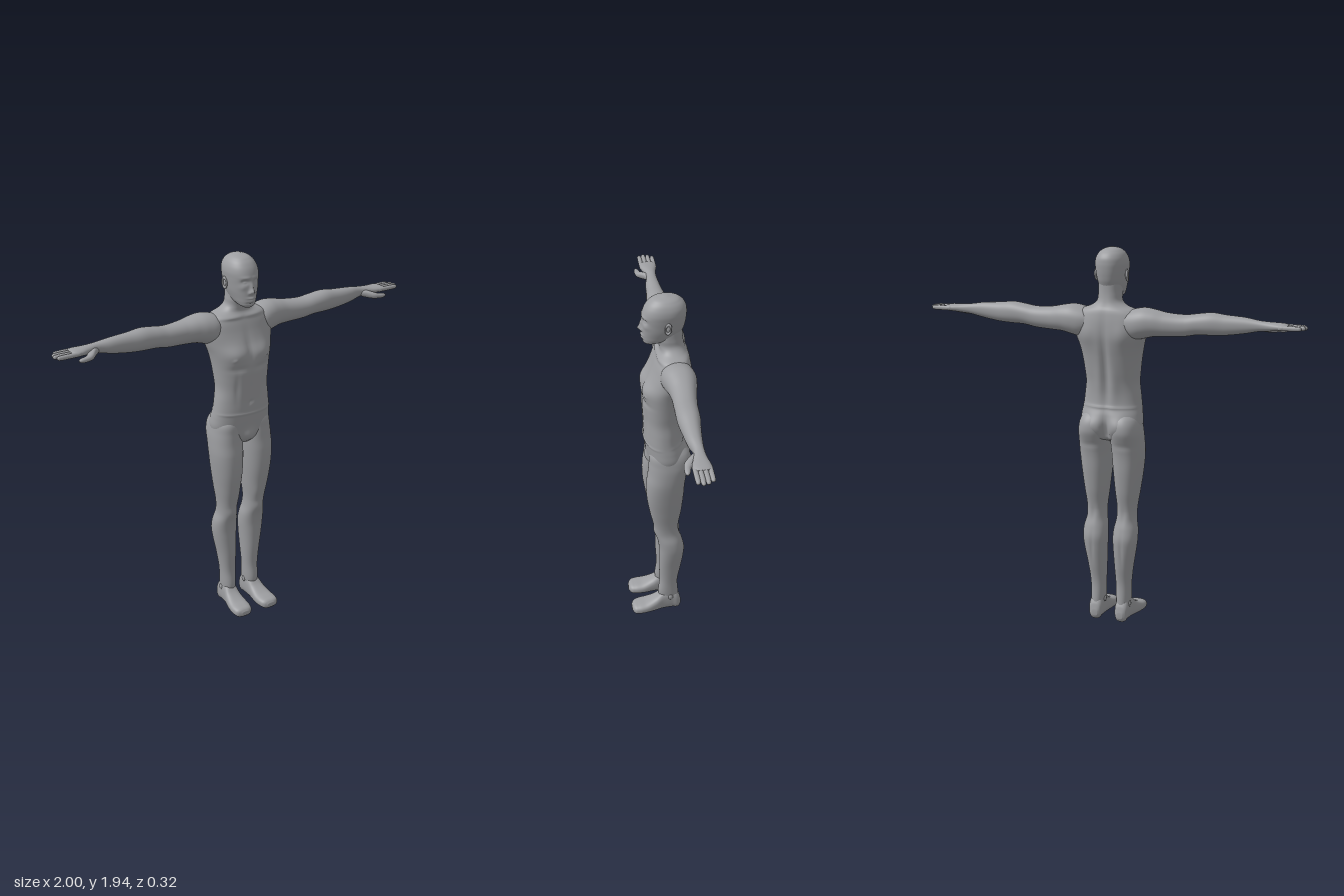
import * as THREE from 'three';

const skin = new THREE.MeshStandardMaterial({ color: 0x9d9ea1 });
skin.name = 'plain grey';

// Axis layouts: t runs along the part, a and b span its cross-section
const upright = (t, a, b) => [a, t, b];   // t = y, a = x, b = z
const sideways = (t, a, b) => [t, b, a];  // t = x, a = z, b = y
const forward = (t, a, b) => [b, a, t];   // t = z, a = y, b = x

// Smooth closed loft. rings: [t, aMin, aMax, bMin, bMax]
// bumps: [side of b, |a|, t, radius a, radius t, height]
function loft(name, rings, map, { sides = 40, steps = 6, power = 2.2, bumps = [], mirror = 1 } = {}) {
  const spline = new THREE.CubicInterpolant(
    rings.map(r => r[0]), rings.flatMap(r => r.slice(1)), 4, new Float32Array(4));
  const ts = [];
  rings.forEach((r, i) => {
    if (i === rings.length - 1) return ts.push(r[0]);
    for (let k = 0; k < steps; k++) ts.push(r[0] + (rings[i + 1][0] - r[0]) * k / steps);
  });
  const pos = [], index = [];
  const put = (t, a, b) => {
    const p = map(t, a, b);
    pos.push(p[0] * mirror, p[1], p[2]);
  };
  const tri = (a, b, c) => (mirror > 0 ? index.push(a, b, c) : index.push(a, c, b));
  const round = v => Math.sign(v) * Math.abs(v) ** (2 / power);
  for (const t of ts) {
    const [a0, a1, b0, b1] = spline.evaluate(t);
    for (let j = 0; j < sides; j++) {
      const ang = j / sides * Math.PI * 2, s = Math.sin(ang);
      const a = (a0 + a1) / 2 + (a1 - a0) / 2 * round(Math.cos(ang));
      let b = (b0 + b1) / 2 + (b1 - b0) / 2 * round(s);
      for (const [side, ba, bt, ra, rt, h] of bumps) {
        const w = THREE.MathUtils.clamp(side * s * 3, 0, 1);
        b += side * w * h * Math.exp(-(((Math.abs(a) - ba) / ra) ** 2) - ((t - bt) / rt) ** 2);
      }
      put(t, a, b);
    }
  }
  // end caps
  const n = ts.length, first = n * sides;
  for (const r of [rings[0], rings[rings.length - 1]]) put(r[0], (r[1] + r[2]) / 2, (r[3] + r[4]) / 2);
  for (let j = 0; j < sides; j++) {
    const k = (j + 1) % sides;
    for (let i = 0; i < n - 1; i++) {
      const p = i * sides;
      tri(p + j, p + sides + j, p + k);
      tri(p + k, p + sides + j, p + sides + k);
    }
    tri(first, j, k);
    tri(first + 1, (n - 1) * sides + k, (n - 1) * sides + j);
  }
  const g = new THREE.BufferGeometry();
  g.setAttribute('position', new THREE.Float32BufferAttribute(pos, 3));
  g.setIndex(index);
  g.computeVertexNormals();
  const mesh = new THREE.Mesh(g, skin);
  mesh.name = name;
  return mesh;
}

// Symmetric ring for the body's centre line
const ring = (y, half, back, front) => [y, -half, half, back, front];

function createTorso() {
  return loft('torso', [
    ring(0.955, 0.06, -0.07, 0.03), ring(0.975, 0.11, -0.115, 0.05), ring(1.0, 0.145, -0.13, 0.06),
    ring(1.05, 0.163, -0.137, 0.068), ring(1.1, 0.16, -0.128, 0.075), ring(1.14, 0.154, -0.115, 0.079),
    ring(1.2, 0.147, -0.11, 0.08), ring(1.26, 0.14, -0.115, 0.083), ring(1.32, 0.145, -0.125, 0.086),
    ring(1.4, 0.156, -0.14, 0.087), ring(1.45, 0.167, -0.149, 0.08), ring(1.5, 0.183, -0.155, 0.06),
    ring(1.55, 0.193, -0.154, 0.04), ring(1.6, 0.185, -0.148, 0.022), ring(1.632, 0.145, -0.14, 0.008),
    ring(1.65, 0.095, -0.13, 0), ring(1.672, 0.066, -0.122, 0.002), ring(1.71, 0.059, -0.115, 0.012),
    ring(1.77, 0.058, -0.112, 0.01),
  ], upright, {
    sides: 96, steps: 8, bumps: [
      [1, 0.08, 1.45, 0.055, 0.045, 0.014],    // chest muscles
      [1, 0.09, 1.425, 0.007, 0.007, 0.006],   // nipples
      [1, 0, 1.47, 0.018, 0.08, -0.006],       // breastbone
      [1, 0.06, 1.375, 0.05, 0.014, -0.006],   // under the chest
      [1, 0, 1.27, 0.008, 0.09, -0.004],       // midline
      [1, 0.075, 1.27, 0.012, 0.07, -0.004],   // side of the belly
      [1, 0, 1.19, 0.008, 0.01, -0.008],       // navel
      [1, 0.07, 1.625, 0.07, 0.01, 0.008],     // collarbones
      [1, 0, 1.0, 0.03, 0.035, 0.014],         // groin
      [1, 0, 1.13, 0.3, 0.006, 0.004], [-1, 0, 1.14, 0.3, 0.006, 0.004], // waistband
      [-1, 0, 1.36, 0.018, 0.19, -0.015],      // spine
      [-1, 0.095, 1.51, 0.045, 0.06, 0.009],   // shoulder blades
      [-1, 0.04, 1.25, 0.025, 0.1, 0.006],     // lower back
      [-1, 0.075, 1.04, 0.05, 0.055, 0.022],   // buttocks
      [-1, 0, 1.01, 0.018, 0.065, -0.03],
    ],
  });
}

function createHead() {
  return loft('head', [
    ring(1.684, 0.02, 0.025, 0.064), ring(1.694, 0.037, -0.01, 0.076), ring(1.71, 0.049, -0.06, 0.082),
    ring(1.735, 0.059, -0.1, 0.084), ring(1.765, 0.068, -0.118, 0.084), ring(1.8, 0.074, -0.127, 0.083),
    ring(1.83, 0.078, -0.131, 0.083), ring(1.86, 0.08, -0.132, 0.078), ring(1.89, 0.073, -0.126, 0.064),
    ring(1.915, 0.056, -0.105, 0.041), ring(1.929, 0.035, -0.078, 0.015), ring(1.936, 0.01, -0.04, -0.02),
  ], upright, {
    sides: 112, steps: 9, bumps: [
      [1, 0, 1.77, 0.011, 0.013, 0.017],       // nose tip
      [1, 0, 1.793, 0.009, 0.022, 0.011],      // nose bridge
      [1, 0.014, 1.764, 0.006, 0.008, 0.007],  // nostrils
      [1, 0.031, 1.818, 0.015, 0.011, -0.012], // eye sockets
      [1, 0.031, 1.816, 0.009, 0.006, 0.006],  // eyelids
      [1, 0.026, 1.838, 0.026, 0.009, 0.004],  // brow
      [1, 0.045, 1.79, 0.014, 0.014, 0.004],   // cheekbones
      [1, 0, 1.736, 0.02, 0.006, 0.007], [1, 0, 1.722, 0.017, 0.006, 0.006], // lips
      [1, 0, 1.71, 0.02, 0.005, -0.004],
    ],
  });
}

function createEar(side) {
  const ear = new THREE.Group();
  ear.name = side > 0 ? 'leftEar' : 'rightEar';
  const rim = new THREE.Mesh(new THREE.TorusGeometry(0.016, 0.0055, 10, 28), skin);
  const bowl = new THREE.Mesh(new THREE.SphereGeometry(0.016, 20, 14), skin);
  rim.name = 'earRim';
  bowl.name = 'earBowl';
  rim.rotation.y = Math.PI / 2;
  rim.scale.set(0.8, 1.5, 1);
  bowl.scale.set(0.4, 1.4, 0.8);
  bowl.position.x = -side * 0.005;
  ear.add(rim, bowl);
  ear.position.set(side * 0.082, 1.798, -0.034);
  ear.rotation.set(-0.15, -side * 0.25, 0);
  return ear;
}

function createArm(mirror) {
  const arm = new THREE.Group();
  arm.name = mirror > 0 ? 'leftArm' : 'rightArm';
  arm.add(loft('armAndPalm', [
    [0.08, -0.135, -0.015, 1.52, 1.62], [0.14, -0.152, 0.012, 1.49, 1.642], [0.19, -0.155, 0.008, 1.498, 1.65],
    [0.24, -0.149, -0.004, 1.51, 1.644], [0.3, -0.138, -0.014, 1.514, 1.632], [0.4, -0.125, -0.014, 1.52, 1.626],
    [0.46, -0.121, -0.011, 1.53, 1.634], [0.53, -0.117, -0.011, 1.532, 1.642], [0.6, -0.108, -0.019, 1.536, 1.635],
    [0.7, -0.098, -0.029, 1.551, 1.628], [0.77, -0.095, -0.043, 1.566, 1.618], [0.82, -0.099, -0.034, 1.57, 1.614],
    [0.86, -0.107, -0.022, 1.574, 1.612], [0.895, -0.11, -0.02, 1.577, 1.609], [0.91, -0.104, -0.026, 1.583, 1.603],
  ], sideways, { mirror }));
  // fingers, index to little
  [0.99, 1, 0.995, 0.98].forEach((tip, i) => {
    const z = -0.031 - i * 0.0225, r = 0.0115;
    const section = (x, k) => [x, z - r * k, z + r * k, 1.592 - r * k, 1.592 + r * k];
    arm.add(loft('finger' + (i + 1), [
      section(0.87, 1), section(0.93, 1), section(tip - 0.02, 0.95), section(tip - 0.006, 0.75), section(tip, 0.25),
    ], sideways, { mirror, sides: 18, steps: 4 }));
  });
  arm.add(loft('thumb', [
    [0.76, -0.07, -0.05, 1.575, 1.595], [0.79, -0.07, -0.025, 1.563, 1.602], [0.82, -0.052, 0.004, 1.558, 1.594],
    [0.85, -0.022, 0.01, 1.558, 1.584], [0.88, -0.014, 0.01, 1.559, 1.58], [0.893, -0.006, 0.004, 1.565, 1.575],
  ], sideways, { mirror, sides: 20, steps: 4 }));
  return arm;
}

function createLeg(mirror) {
  const leg = new THREE.Group();
  leg.name = mirror > 0 ? 'leftLeg' : 'rightLeg';
  leg.add(loft('thighAndCalf', [
    [0.04, 0.042, 0.1, -0.1, -0.01], [0.1, 0.034, 0.106, -0.096, 0.012], [0.2, 0.03, 0.11, -0.091, 0.005],
    [0.3, 0.025, 0.122, -0.107, 0.009], [0.4, 0.02, 0.14, -0.12, 0.01], [0.45, 0.018, 0.146, -0.122, 0.011],
    [0.5, 0.021, 0.144, -0.111, 0.018], [0.55, 0.031, 0.132, -0.097, 0.031], [0.6, 0.033, 0.132, -0.091, 0.038],
    [0.7, 0.022, 0.146, -0.105, 0.06], [0.8, 0.012, 0.16, -0.115, 0.075], [0.9, 0.005, 0.17, -0.122, 0.075],
    [0.96, 0.002, 0.17, -0.135, 0.067], [1.02, 0.005, 0.166, -0.153, 0.062], [1.08, 0.015, 0.152, -0.138, 0.055],
    [1.12, 0.04, 0.12, -0.095, 0.02],
  ], upright, {
    mirror, sides: 56, bumps: [
      [1, 0.082, 0.565, 0.025, 0.03, 0.006],    // kneecap
      [1, 0.055, 0.65, 0.022, 0.04, 0.004],     // inner thigh muscle
      [-1, 0.082, 0.57, 0.015, 0.04, -0.004],   // back of knee
      [-1, 0.08, 0.4, 0.008, 0.07, -0.004],     // calf split
      [-1, 0.085, 0.945, 0.06, 0.015, -0.004],  // buttock crease
    ],
  }));
  leg.add(loft('foot', [
    [-0.109, 0.02, 0.05, 0.055, 0.085], [-0.1, 0.004, 0.085, 0.042, 0.1], [-0.06, 0, 0.125, 0.036, 0.107],
    [-0.01, 0, 0.118, 0.034, 0.112], [0.03, 0, 0.085, 0.031, 0.122], [0.08, 0, 0.062, 0.026, 0.132],
    [0.125, 0, 0.054, 0.03, 0.133], [0.15, 0.003, 0.046, 0.042, 0.122], [0.16, 0.013, 0.034, 0.06, 0.1],
  ], forward, { mirror, power: 2.7 }));
  // ankle bones
  for (const [x, y, z] of [[0.036, 0.1, -0.045], [0.104, 0.09, -0.05]]) {
    const bone = new THREE.Mesh(new THREE.SphereGeometry(0.014, 16, 12), skin);
    bone.name = 'ankleBone';
    bone.position.set(x * mirror, y, z);
    bone.scale.set(0.6, 1.2, 1);
    leg.add(bone);
  }
  return leg;
}

export function createModel() {
  const figure = new THREE.Group();
  figure.name = 'standingFigure';
  figure.add(createTorso(), createHead());
  for (const side of [1, -1]) figure.add(createEar(side), createArm(side), createLeg(side));
  return figure;
}
